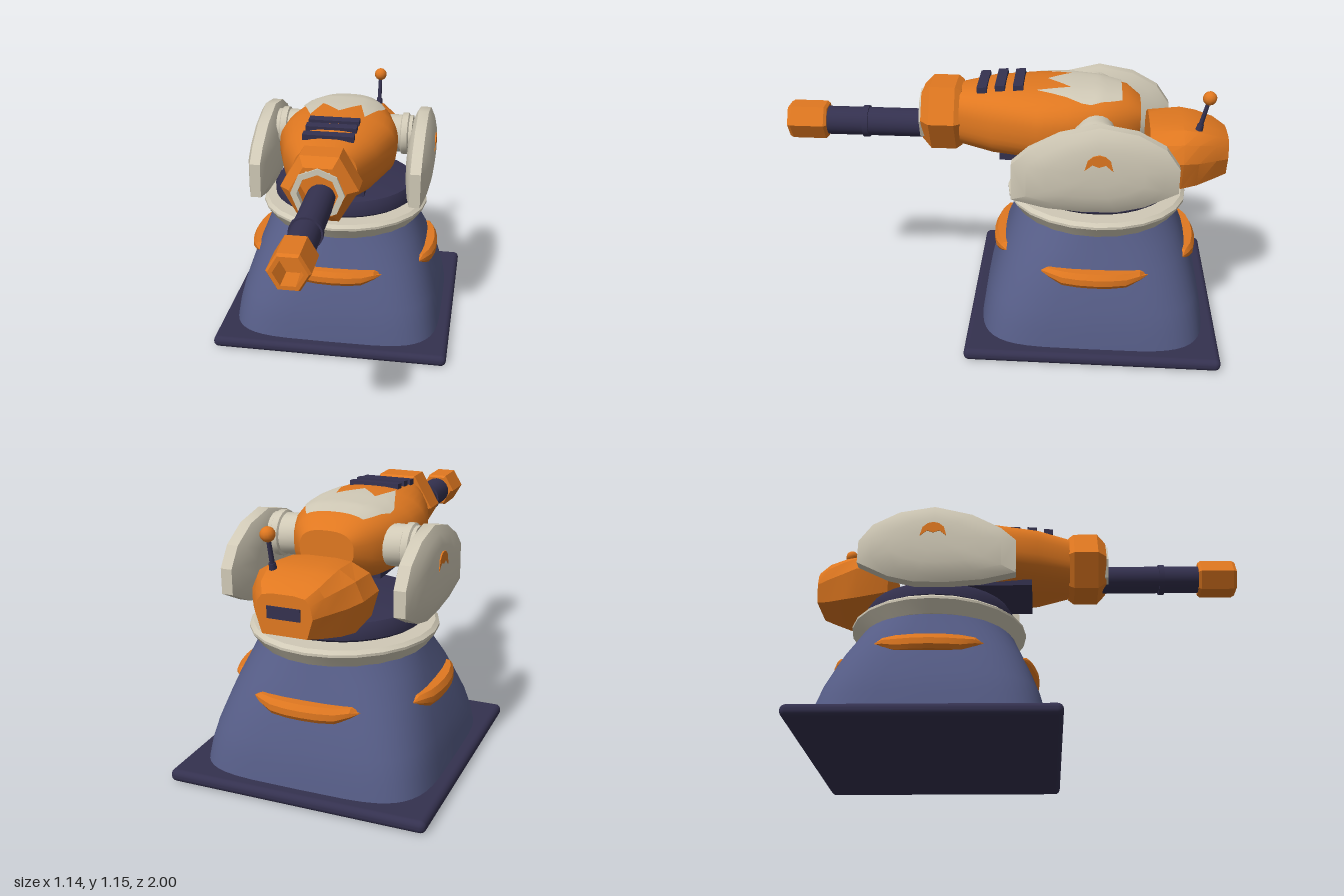
import * as THREE from 'three';
import { toCreasedNormals } from 'three/addons/utils/BufferGeometryUtils.js';
import { RoundedBoxGeometry } from 'three/addons/geometries/RoundedBoxGeometry.js';

const BASE_Z = -0.42;
const paint = (name, color, side = THREE.FrontSide) => {
  const m = new THREE.MeshStandardMaterial({ color, side });
  m.name = name;
  return m;
};

// Piecewise-linear lookup in rows of [key, ...values], keys ascending
function lookup(rows, k) {
  let i = 0;
  while (i < rows.length - 2 && k > rows[i + 1][0]) i++;
  const a = rows[i], b = rows[i + 1];
  const t = THREE.MathUtils.clamp((k - a[0]) / (b[0] - a[0]), 0, 1);
  return a.slice(1).map((v, j) => v + (b[j + 1] - v) * t);
}

// Closed skin over rings of [x, y, z], capped at both ends, always facing out
function loft(rings, crease = 0.5) {
  const n = rings[0].length, pos = rings.flat(), idx = [];
  for (let i = 0; i < rings.length - 1; i++) for (let j = 0; j < n; j++) {
    const a = i * n + j, b = i * n + (j + 1) % n;
    idx.push(a, b, b + n, a, b + n, a + n);
  }
  [0, rings.length - 1].forEach((r) => {
    const mid = [0, 1, 2].map((k) => rings[r].reduce((s, p) => s + p[k], 0) / n);
    const c = pos.push(mid) - 1;
    for (let j = 0; j < n; j++) {
      const a = r * n + j, b = r * n + (j + 1) % n;
      if (r) idx.push(a, b, c); else idx.push(b, a, c);
    }
  });
  const v = pos.map((p) => new THREE.Vector3(...p));
  let volume = 0;
  for (let i = 0; i < idx.length; i += 3) {
    volume += v[idx[i]].dot(v[idx[i + 1]].clone().cross(v[idx[i + 2]]));
  }
  if (volume < 0) idx.reverse();
  const g = new THREE.BufferGeometry().setFromPoints(v);
  g.setIndex(idx);
  return toCreasedNormals(g, crease);
}

// Rounded-square outline as unit [u, v] points
function superEllipse(n, count) {
  const f = (c) => Math.sign(c) * Math.abs(c) ** (2 / n);
  return Array.from({ length: count }, (_, i) => {
    const t = i / count * Math.PI * 2;
    return [f(Math.cos(t)), f(Math.sin(t))];
  });
}
const hexRing = (y, r, z) => Array.from({ length: 6 }, (_, i) =>
  [r * Math.cos(i * Math.PI / 3), y + r * Math.sin(i * Math.PI / 3), z]);
const lathe = (pts, seg) =>
  toCreasedNormals(new THREE.LatheGeometry(pts.map((p) => new THREE.Vector2(...p)), seg), 0.6);

// Turret hull: z, half width, centre y, half height
const HULL = [
  [-0.6, 0.12, 0.98, 0.08], [-0.54, 0.175, 0.975, 0.13], [-0.42, 0.235, 0.972, 0.157],
  [-0.28, 0.27, 0.972, 0.163], [-0.15, 0.275, 0.972, 0.163], [0.05, 0.215, 0.972, 0.156],
  [0.2, 0.145, 0.97, 0.132],
];
const HULL_N = 2.6;
const hullTop = (x, z) => {
  const [w, cy, h] = lookup(HULL, z);
  return cy + h * Math.max(0, 1 - Math.abs(x / w) ** HULL_N) ** (1 / HULL_N);
};

export function createModel() {
  const orange = paint('orange', 0xe07820);
  const cream = paint('cream', 0xd0c9b6);
  const creamSheet = cream;
  const blue = paint('slateBlue', 0x565d87);
  const navy = paint('darkNavy', 0x34314f);
  creamSheet.side = THREE.DoubleSide;
  const model = new THREE.Group();
  const add = (name, geo, mat, x = 0, y = 0, z = 0, parent = model) => {
    const m = new THREE.Mesh(geo, mat);
    m.name = name;
    m.position.set(x, y, z);
    parent.add(m);
    return m;
  };

  // Pedestal: slab, tower turning from square to round, collar, turntable
  add('baseSlab', new RoundedBoxGeometry(1.14, 0.055, 1.14, 3, 0.025), navy, 0, 0.0275, BASE_Z);
  const tower = [[0.04, 0.516, 4.6], [0.13, 0.503, 4.3], [0.22, 0.482, 3.9], [0.32, 0.449, 3.4],
    [0.4, 0.421, 3], [0.48, 0.39, 2.5], [0.555, 0.362, 2.1]];
  add('tower', loft(tower.map(([y, r, n]) =>
    superEllipse(n, 48).map(([u, v]) => [u * r, y, v * r])), 0.6), blue, 0, 0, BASE_Z);
  add('collar', lathe([[0, 0.55], [0.37, 0.55], [0.41, 0.605], [0.41, 0.616], [0.393, 0.63], [0, 0.63]], 24),
    cream, 0, 0, BASE_Z);
  add('turntable', lathe([[0, 0.642], [0.335, 0.642], [0.352, 0.655], [0.352, 0.695], [0.335, 0.722],
    [0.26, 0.737], [0, 0.737]], 32), navy, 0, 0, BASE_Z);

  // Four curved fins: x, bottom y, top y, outer depth
  const half = [[0, 0.34, 0.41, 0.472], [0.07, 0.34, 0.41, 0.468], [0.14, 0.342, 0.41, 0.455],
    [0.2, 0.365, 0.409, 0.43], [0.236, 0.383, 0.392, 0.4]];
  const stations = [...half.slice(1).reverse().map(([x, ...r]) => [-x, ...r]), ...half];
  const finGeo = loft(stations.map(([x, y0, y1, d]) => [
    [x, y0, 0.36], [x, y0, d - 0.012], [x, y0 + (y1 - y0) * 0.25, d],
    [x, y0 + (y1 - y0) * 0.65, d], [x, y1, d - 0.014], [x, y1, 0.36]]), 0.4);
  for (let i = 0; i < 4; i++) add('towerFin', finGeo, orange, 0, 0, BASE_Z).rotation.y = i * Math.PI / 2;

  // Turret hull
  add('hull', loft(HULL.map(([z, w, cy, h]) =>
    superEllipse(HULL_N, 40).map(([u, v]) => [u * w, cy + v * h, z])), 0.55), orange);
  add('hullUnderside', new THREE.BoxGeometry(0.3, 0.03, 0.4), navy, 0, 0.82, -0.18);

  // Badge plate draped over the hull
  const front = [[0, -0.185], [0.09, -0.29], [0.127, -0.14], [0.195, -0.34]];
  const back = [[0, -0.515], [0.13, -0.515], [0.195, -0.38]];
  const cols = [0, 0.03, 0.06, 0.09, 0.108, 0.127, 0.15, 0.172, 0.195];
  const xs = [...cols.slice(1).reverse().map((x) => -x), ...cols];
  const badge = new THREE.PlaneGeometry(1, 1, xs.length - 1, 14);
  const bp = badge.attributes.position;
  for (let i = 0; i < bp.count; i++) {
    const x = xs[i % xs.length], t = Math.floor(i / xs.length) / 14;
    const z0 = lookup(back, Math.abs(x))[0], z1 = lookup(front, Math.abs(x))[0];
    const z = z0 + (z1 - z0) * t;
    bp.setXYZ(i, x, hullTop(x, z) + 0.008, z);
  }
  badge.computeVertexNormals();
  add('topBadge', badge, creamSheet);

  // Vent bars
  for (const z of [0.1, 0.02, -0.06]) {
    add('topVent', new THREE.BoxGeometry(0.23, 0.026, 0.044), navy, 0, hullTop(0.06, z) + 0.002, z)
      .rotation.x = 0.08;
  }

  // Hexagonal gun mount with cream ring
  add('gunMount', loft([[0.15, 0.195], [0.17, 0.222], [0.17, 0.335], [0.125, 0.376], [0.105, 0.376], [0.095, 0.3]]
    .map(([r, z]) => hexRing(0.97, r, z)), 0.2), orange);
  add('mountRing', lathe([[0.09, 0], [0.117, 0], [0.117, 0.035], [0.09, 0.035], [0.09, 0]], 8)
    .rotateX(Math.PI / 2), cream, 0, 0.962, 0.35);

  // Barrel, band and hollow tip
  const rod = (r, len, seg = 20) => new THREE.CylinderGeometry(r, r, len, seg).rotateX(Math.PI / 2);
  add('barrel', rod(0.065, 0.6), navy, 0, 0.91, 0.54);
  add('barrelBand', rod(0.073, 0.026), navy, 0, 0.91, 0.643);
  add('barrelTip', loft([[0.078, 0.82], [0.088, 0.832], [0.088, 0.985], [0.079, 1], [0.06, 1], [0.054, 0.9]]
    .map(([r, z]) => hexRing(0.912, r, z)), 0.2), orange);

  // Side shields on pivots, with a small chevron
  const outline = [[-0.05, 0.9], [-0.05, 0.735], [-0.2, 0.7], [-0.35, 0.688], [-0.5, 0.69], [-0.62, 0.72],
    [-0.76, 0.79], [-0.76, 0.9], [-0.7, 0.985], [-0.58, 1.05], [-0.42, 1.078], [-0.25, 1.035], [-0.12, 0.965]];
  const layers = [[0.318, 0.55], [0.335, 0.85], [0.352, 1], [0.402, 1], [0.422, 0.82], [0.435, 0.58], [0.441, 0.3]];
  const chevron = new THREE.Shape([[0.06, -0.035], [0.048, 0.01], [0.025, 0.03], [0, 0.036], [-0.025, 0.03],
    [-0.048, 0.01], [-0.06, -0.035], [-0.028, -0.008], [0, -0.018], [0.028, -0.008]]
    .map((p) => new THREE.Vector2(...p)));
  const chevronGeo = new THREE.ExtrudeGeometry(chevron, { depth: 0.009, bevelEnabled: false });
  for (const s of [-1, 1]) {
    const side = new THREE.Group();
    side.name = s > 0 ? 'leftShield' : 'rightShield';
    model.add(side);
    add('shieldPlate', loft(layers.map(([x, k]) => outline.map(([z, y]) =>
      [s * x, 0.885 + (y - 0.885) * k, -0.41 + (z + 0.41) * k])), 0.45), cream, 0, 0, 0, side);
    add('shieldChevron', chevronGeo, orange, s * 0.435, 0.936, -0.42, side).rotation.y = s * Math.PI / 2;
    add('shieldPivot', lathe([[0, 0.2], [0.09, 0.2], [0.09, 0.275], [0.1, 0.28], [0.1, 0.308], [0.09, 0.314],
      [0.09, 0.33], [0, 0.33]], 20), cream, 0, 0.97, -0.4, side).rotation.z = -s * Math.PI / 2;
  }

  // Rear pod: z, bottom y, shoulder y, top y, half widths of bottom, middle, top
  const pod = [[-0.645, 0.74, 0.85, 0.965, 0.215, 0.247, 0.13], [-0.79, 0.717, 0.85, 0.978, 0.205, 0.241, 0.14],
    [-0.86, 0.722, 0.84, 0.968, 0.175, 0.205, 0.135], [-0.94, 0.735, 0.835, 0.945, 0.125, 0.157, 0.12],
    [-0.995, 0.748, 0.83, 0.915, 0.095, 0.12, 0.09]];
  add('rearPod', loft(pod.map(([z, y0, ym, y1, b, m, t]) => {
    const right = [[b, y0], [m, ym], [(m * 2 + t) / 3, ym + (y1 - ym) * 0.6], [t, y1 - 0.008], [t * 0.5, y1]];
    return [...right, ...right.map(([x, y]) => [-x, y]).reverse()].map(([x, y]) => [x, y, z]);
  }), 0.4), orange);
  add('rearVent', new THREE.BoxGeometry(0.14, 0.05, 0.009), navy, 0, 0.84, -0.9955);

  // Antenna leaning backwards
  const antenna = new THREE.Group();
  antenna.name = 'antenna';
  antenna.position.set(0.11, 0.955, -0.855);
  antenna.rotation.x = -0.23;
  model.add(antenna);
  add('antennaFoot', new THREE.CylinderGeometry(0.014, 0.018, 0.04, 10), navy, 0, 0.015, 0, antenna);
  add('antennaRod', new THREE.CylinderGeometry(0.009, 0.011, 0.15, 10), navy, 0, 0.075, 0, antenna);
  add('antennaBall', new THREE.SphereGeometry(0.031, 12, 8), orange, 0, 0.16, 0, antenna);

  return model;
}
